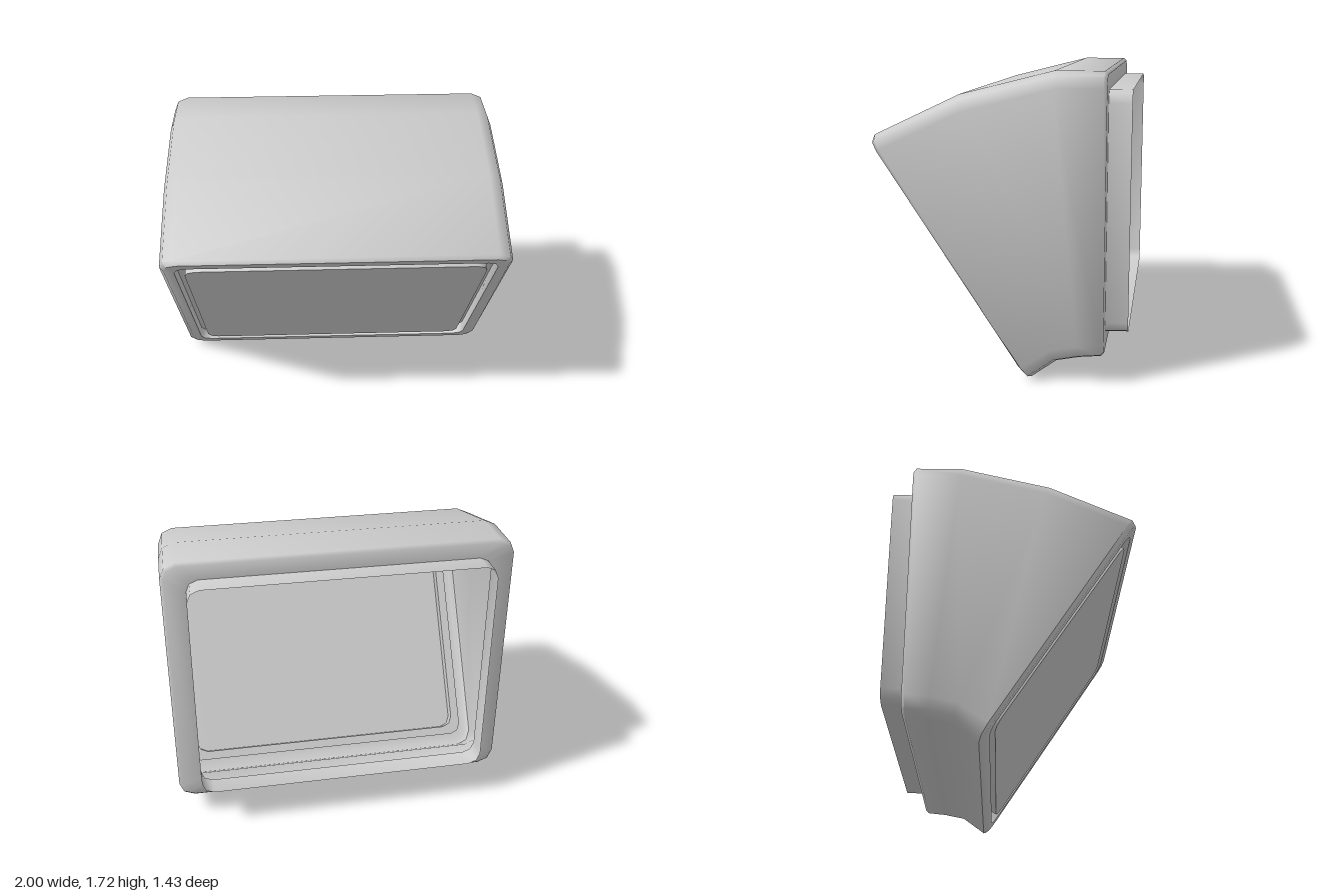
import * as THREE from 'three';
import { toCreasedNormals } from 'three/addons/utils/BufferGeometryUtils.js';

const material = new THREE.MeshStandardMaterial({ color: 0xcccccc, side: THREE.DoubleSide });

// Rounded-rectangle loop standing between a bottom and a top point, each [z, y]
function ring(halfWidth, top, bottom, radius) {
  const dz = top[0] - bottom[0], dy = top[1] - bottom[1];
  const length = Math.hypot(dz, dy);
  const points = [];
  for (let corner = 0; corner < 4; corner++) {
    const sx = corner === 0 || corner === 3 ? 1 : -1;
    const cx = sx * (halfWidth - radius);
    const cs = corner < 2 ? length - radius : radius;
    for (let k = 0; k <= 2; k++) {
      const a = (corner + k / 2) * Math.PI / 2;
      const t = (cs + radius * Math.sin(a)) / length;
      points.push([cx + radius * Math.cos(a), bottom[1] + dy * t, bottom[0] + dz * t]);
    }
  }
  return points;
}

// Skin a list of loops ordered front to back; optionally close the first one
function loft(name, rings, capFirst = false) {
  const n = rings[0].length, index = [];
  for (let i = 0; i < rings.length - 1; i++) {
    for (let j = 0; j < n; j++) {
      const a = i * n + j, b = i * n + (j + 1) % n;
      index.push(a, a + n, b, b, a + n, b + n);
    }
  }
  if (capFirst) for (let j = 1; j < n - 1; j++) index.push(0, j, j + 1);
  const geometry = new THREE.BufferGeometry();
  geometry.setAttribute('position', new THREE.Float32BufferAttribute(rings.flat(2), 3));
  geometry.setIndex(index);
  const mesh = new THREE.Mesh(toCreasedNormals(geometry, 0.95), material);
  mesh.name = name;
  return mesh;
}

// Tilted front plane
const faceTop = [0.715, 1.335], faceBottom = [-0.155, 0.015];
const faceLength = Math.hypot(faceTop[0] - faceBottom[0], faceTop[1] - faceBottom[1]);
const tz = (faceTop[0] - faceBottom[0]) / faceLength;
const ty = (faceTop[1] - faceBottom[1]) / faceLength;

// Loop parallel to the front plane, inset by a margin and sunk by a depth
function faceRing(margin, depth, radius) {
  const at = (p, s) => [p[0] + s * margin * tz - depth * ty, p[1] + s * margin * ty + depth * tz];
  return ring(0.975 - margin, at(faceTop, -1), at(faceBottom, 1), radius);
}

export function createModel() {
  const group = new THREE.Group();
  group.name = 'hood';
  const grooveDepth = 0.065;

  // Raised panel with its side walls
  group.add(loft('frontPanel', [
    faceRing(0.108, 0, 0.065),
    faceRing(0.108, grooveDepth, 0.065),
  ], true));

  // Groove around the panel and the wall of the front opening
  group.add(loft('grooveAroundPanel', [
    faceRing(0.108, grooveDepth, 0.065),
    faceRing(0.055, grooveDepth, 0.065),
    faceRing(0.055, 0, 0.065),
  ]));

  // Front rim, curved hood body and back flange
  group.add(loft('hoodBody', [
    faceRing(0.055, 0, 0.065),
    faceRing(0, 0, 0.075),
    ring(1, [0.7, 1.36], [-0.18, 0], 0.09),
    ring(1, [0.22, 1.587], [-0.32, 0.103], 0.09),
    ring(1, [-0.3, 1.718], [-0.45, 0.13], 0.09),
    ring(1, [-0.57, 1.718], [-0.57, 0.143], 0.09),
    ring(0.982, [-0.587, 1.7], [-0.587, 0.16], 0.075),
    ring(0.865, [-0.587, 1.615], [-0.587, 0.25], 0.07),
  ]));

  // Open collar at the back
  group.add(loft('backCollar', [
    ring(0.865, [-0.587, 1.615], [-0.587, 0.25], 0.07),
    ring(0.865, [-0.715, 1.615], [-0.715, 0.255], 0.07),
  ]));

  return group;
}
